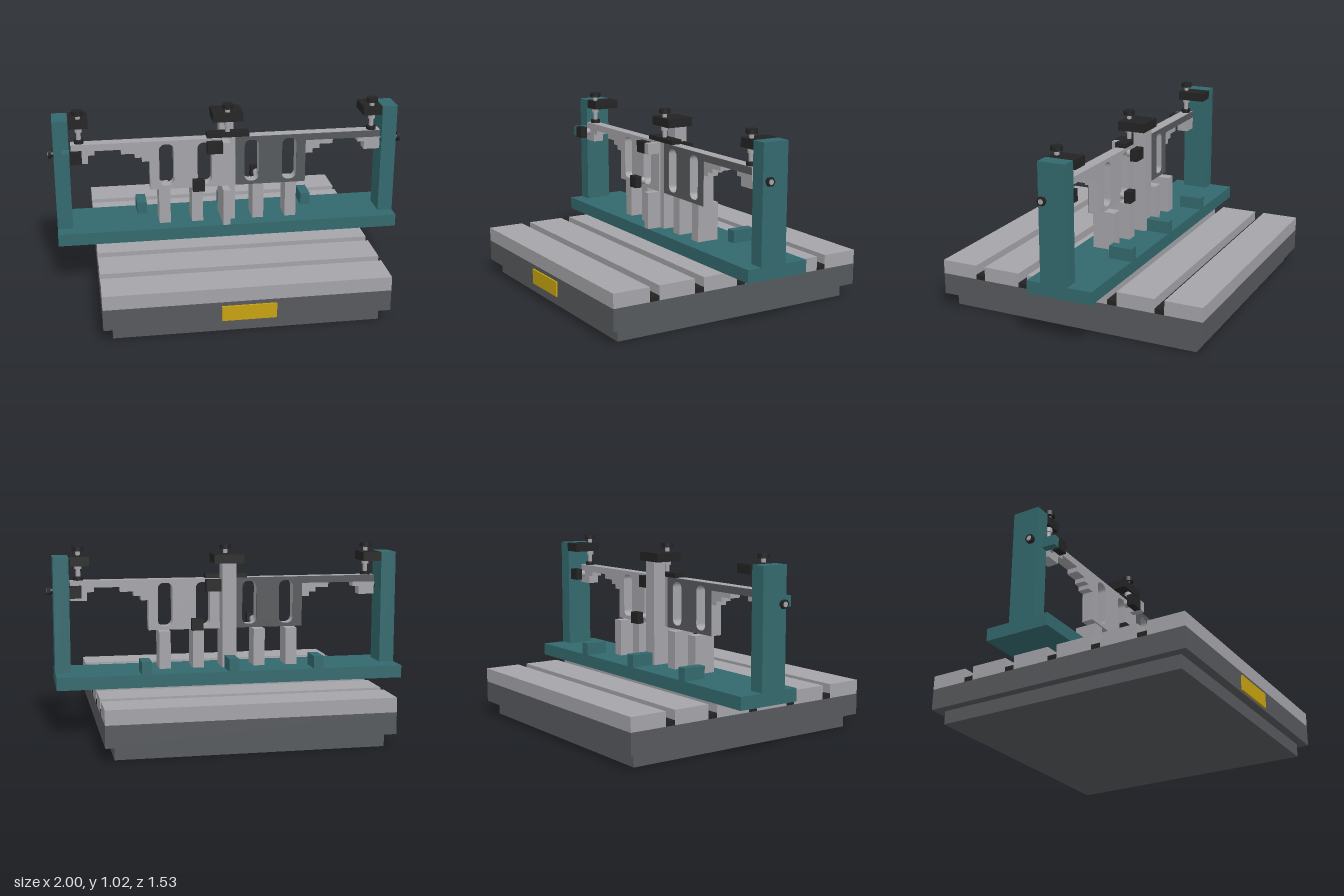
import * as THREE from 'three';

const mat = (name, color) => {
  const m = new THREE.MeshStandardMaterial({ color });
  m.name = name;
  return m;
};

export function createModel() {
  const steel = mat('light steel', 0xa4a4a9);
  const iron = mat('dark iron', 0x56595c);
  const teal = mat('teal paint', 0x33696d);
  const black = mat('black', 0x232323);
  const yellow = mat('yellow plate', 0xc8a310);
  const model = new THREE.Group();
  model.name = 'clampingFixture';

  const add = (parent, name, geo, material) => {
    const mesh = new THREE.Mesh(geo, material);
    mesh.name = name;
    parent.add(mesh);
    return mesh;
  };
  // Box given by its limits on each axis
  const box = (parent, name, material, x0, x1, y0, y1, z0, z1) => {
    const mesh = add(parent, name, new THREE.BoxGeometry(x1 - x0, y1 - y0, z1 - z0), material);
    mesh.position.set((x0 + x1) / 2, (y0 + y1) / 2, (z0 + z1) / 2);
    return mesh;
  };
  // Upright cylinder between two heights
  const rod = (parent, name, material, r, x, y0, y1, z = 0, sides = 24) => {
    const mesh = add(parent, name, new THREE.CylinderGeometry(r, r, y1 - y0, sides), material);
    mesh.position.set(x, (y0 + y1) / 2, z);
    return mesh;
  };
  // Cylinder lying along x
  const bolt = (parent, name, material, r, x0, x1, y, sides = 24) => {
    const mesh = add(parent, name, new THREE.CylinderGeometry(r, r, x1 - x0, sides), material);
    mesh.rotation.z = Math.PI / 2;
    mesh.position.set((x0 + x1) / 2, y, 0);
    return mesh;
  };

  // Slotted machine table
  box(model, 'tablePlinth', iron, -0.71, 0.71, 0, 0.075, -0.715, 0.71);
  box(model, 'tableBed', iron, -0.76, 0.76, 0.075, 0.192, -0.765, 0.76);
  const slots = [-0.53, -0.265, 0, 0.26, 0.525];
  const slotHalf = 0.027;
  let start = -0.765;
  for (const z of [...slots, 0.76 + slotHalf]) {
    box(model, 'tableStrip', steel, -0.76, 0.76, 0.192, 0.27, start, z - slotHalf);
    start = z + slotHalf;
  }
  for (const z of slots) box(model, 'slotFloor', black, -0.76, 0.76, 0.192, 0.218, z - slotHalf, z + slotHalf);
  box(model, 'namePlate', yellow, -0.145, 0.145, 0.087, 0.17, 0.76, 0.769);

  // Fixture frame
  box(model, 'frameBase', teal, -0.97, 0.97, 0.27, 0.34, -0.257, 0.11);
  for (const x of [-0.483, 0, 0.483]) {
    box(model, 'rearRib', teal, x - 0.028, x + 0.028, 0.34, 0.41, -0.257, -0.125);
  }
  for (const s of [-1, 1]) {
    const x = s * 0.9275;
    box(model, 'endColumn', teal, x - 0.0425, x + 0.0425, 0.34, 0.975, -0.122, 0.03);
    bolt(model, 'sideBoltCollar', black, 0.016, s * 0.978 - 0.008, s * 0.978 + 0.008, 0.78);
    bolt(model, 'sideBoltHead', black, 0.025, s * 0.99 - 0.009, s * 0.99 + 0.009, 0.78, 6);
    bolt(model, 'sideBoltTip', steel, 0.014, s * 0.9925 - 0.0075, s * 0.9925 + 0.0075, 0.78);
    bolt(model, 'sideBoltPad', black, 0.018, s * 0.88 - 0.008, s * 0.88 + 0.008, 0.78);
  }

  // Support posts
  for (const x of [-0.363, -0.177, 0.172, 0.361]) {
    box(model, 'supportPost', steel, x - 0.032, x + 0.032, 0.34, 0.55, -0.1, 0.028);
  }
  box(model, 'centrePost', steel, -0.04, 0.04, 0.34, 0.925, -0.12, -0.045);
  box(model, 'centreLowerPost', steel, -0.04, 0.04, 0.34, 0.55, -0.045, 0.028);
  box(model, 'frontStopPost', steel, -0.04, 0, 0.34, 0.55, 0.028, 0.11);
  box(model, 'frontStop', steel, -0.04, 0, 0.77, 0.832, 0.028, 0.108);

  // Top clamps with screws
  for (const [x, w] of [[-0.828, 0.053], [0, 0.085], [0.828, 0.053]]) {
    box(model, 'clampArm', black, x - w, x + w, 0.925, 0.975, -0.13, 0.028);
    rod(model, 'clampNut', steel, 0.02, x, 0.9, 0.925);
    rod(model, 'clampScrew', steel, 0.013, x, 0.855, 1.0);
    rod(model, 'clampFoot', black, 0.027, x, 0.836, 0.857);
    rod(model, 'clampKnob', black, 0.032, x, 0.998, 1.023);
  }
  box(model, 'centrePad', black, -0.12, 0.12, 0.836, 0.862, -0.035, 0.03);

  // Workpiece outline helpers
  const outline = (points) => new THREE.Shape(points.map(([x, y]) => new THREE.Vector2(x, y)));
  const roundWindow = (x0, x1, y0, y1, r) => {
    const p = new THREE.Path();
    p.moveTo(x0 + r, y0);
    p.lineTo(x1 - r, y0);
    p.absarc(x1 - r, y0 + r, r, -Math.PI / 2, 0);
    p.lineTo(x1, y1 - r);
    p.absarc(x1 - r, y1 - r, r, 0, Math.PI / 2);
    p.lineTo(x0 + r, y1);
    p.absarc(x0 + r, y1 - r, r, Math.PI / 2, Math.PI);
    p.lineTo(x0, y0 + r);
    p.absarc(x0 + r, y0 + r, r, Math.PI, Math.PI * 1.5);
    return p;
  };
  const slab = (parent, name, material, points, z0, z1) => {
    const shape = outline(points);
    shape.holes.push(roundWindow(0.093, 0.175, 0.57, 0.815, 0.033), roundWindow(0.308, 0.39, 0.57, 0.815, 0.033));
    const geo = new THREE.ExtrudeGeometry(shape, { depth: z1 - z0, bevelEnabled: false, curveSegments: 6 });
    geo.translate(0, 0, z0);
    return add(parent, name, geo, material);
  };

  // Two workpiece halves with their side clamps, each the other turned half round
  for (const turn of [0, Math.PI]) {
    const half = new THREE.Group();
    half.name = turn ? 'rightWorkpieceHalf' : 'leftWorkpieceHalf';
    half.rotation.y = turn;
    model.add(half);
    slab(half, 'workpieceBody', steel, [
      [0, 0.55], [0.443, 0.55], [0.443, 0.72], [0.485, 0.72], [0.485, 0.745], [0.525, 0.745],
      [0.525, 0.77], [0.6, 0.77], [0.6, 0.797], [0.745, 0.797], [0.745, 0.772], [0.783, 0.772],
      [0.783, 0.725], [0.875, 0.725], [0.875, 0.836], [0, 0.836],
    ], -0.036, 0.028);
    slab(half, 'workpieceDarkFace', iron, [
      [0.042, 0.55], [0.443, 0.55], [0.443, 0.797], [0.875, 0.797], [0.875, 0.8355], [0.042, 0.8355],
    ], 0.028, 0.031);
    for (const [x, y, w] of [[0.85, 0.78, 0.033], [0.177, 0.584, 0.033], [0.085, 0.802, 0.043]]) {
      box(half, 'sideClampPad', black, x - w, x + w, y - 0.033, y + 0.033, -0.108, -0.068);
      const stem = rod(half, 'sideClampStem', steel, 0.02, x, y - 0.018, y + 0.018, -0.052);
      stem.rotation.x = Math.PI / 2;
    }
    box(half, 'sideClampBracket', teal, 0.883, 0.923, 0.753, 0.81, -0.105, -0.02);
  }
  return model;
}
